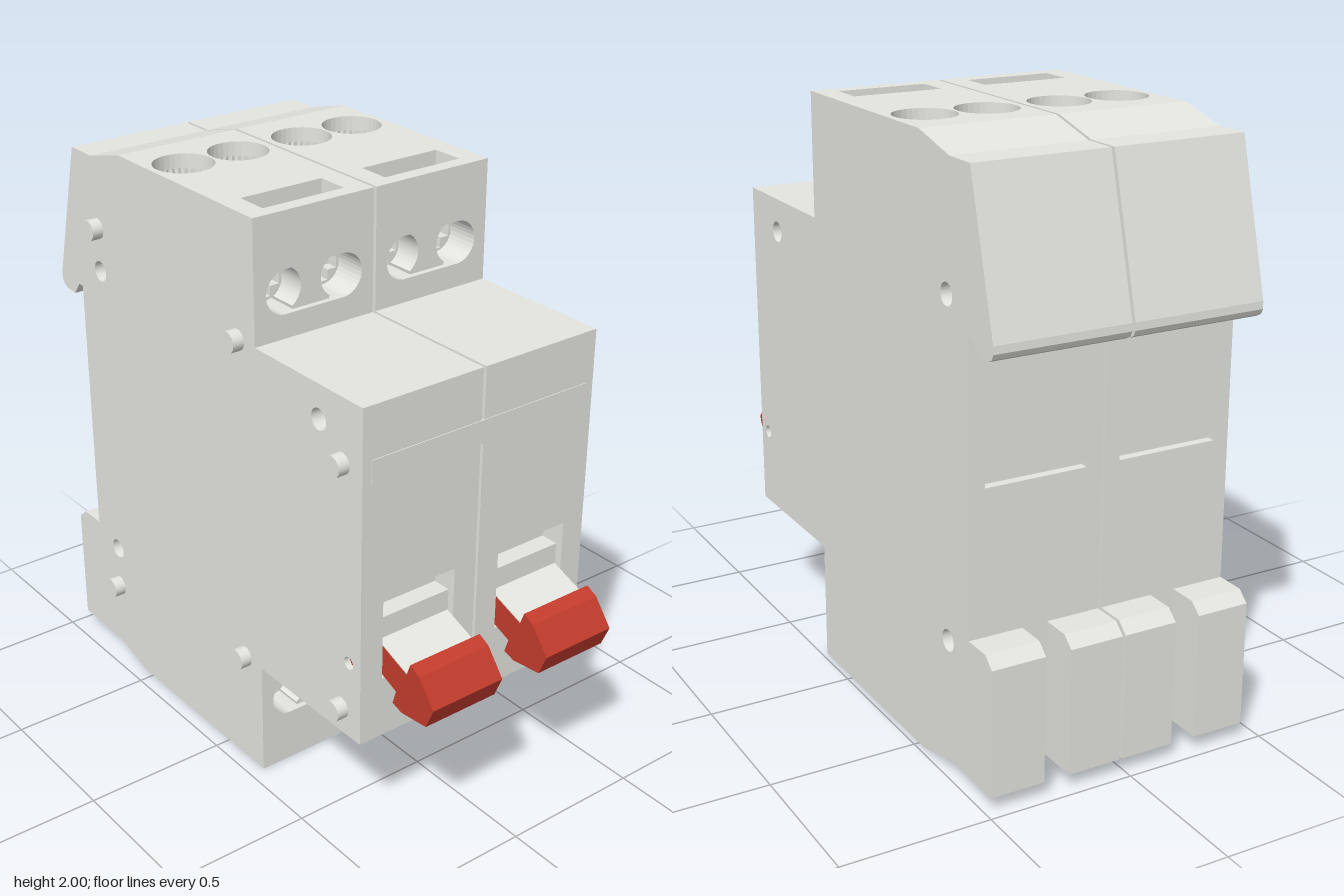
import * as THREE from 'three';

const mat = (name, color, side = THREE.FrontSide) =>
  Object.assign(new THREE.MeshStandardMaterial({ color, side }), { name });
const V2 = (x, y) => new THREE.Vector2(x, y);
const V3 = (x, y, z) => new THREE.Vector3(x, y, z);

const W = 0.458; // width of one module

// Side outline as [z, y], front edge upward first
const PROFILE = [
  [0.735, 0.415], [0.735, 1.586], [0.208, 1.586], [0.208, 2], [-0.54, 2], [-0.72, 1.953], [-0.84, 1.953],
  [-0.97, 1.468], [-0.971, 1.443], [-0.962, 1.425], [-0.94, 1.414], [-0.888, 1.41], [-0.855, 1.455],
  [-0.83, 1.455], [-0.83, 0.05], [-0.72, 0.05], [-0.54, 0], [0.208, 0], [0.208, 0.415],
];
const FOOT = [[-0.83, 0.51], [-0.93, 0.51], [-0.97, 0.475], [-0.97, 0.05], [-0.83, 0.05]];
const LEVER = [
  [0.66, 0.77], [0.735, 0.747], [0.848, 0.705], [0.864, 0.748], [0.906, 0.727], [0.975, 0.64], [0.943, 0.565],
  [0.827, 0.552], [0.784, 0.565], [0.8, 0.615], [0.737, 0.64], [0.66, 0.67],
];
const LEVER_TOP = [[0.71, 0.756], [0.848, 0.705], [0.848, 0.709], [0.71, 0.76]];
const BOLTS = [[-0.7, 1.55], [0.527, 1.47], [-0.7, 0.455]];
const PEGS = [[-0.7, 1.705], [0.115, 1.582], [0.64, 1.372], [0.64, 0.507], [0.115, 0.418], [-0.7, 0.298]];
const PIVOT = [0.677, 0.69];
const SCREW_X = 0.1115;

// Rectangle (r = 0), slot or circle outline
function outline(cx, cy, w, h, r = 0) {
  if (!r) return [[-1, -1], [1, -1], [1, 1], [-1, 1]].map(([a, b]) => V2(cx + a * w / 2, cy + b * h / 2));
  return Array.from({ length: 32 }, (_, i) => {
    const a = (i + 0.5) / 32 * Math.PI * 2;
    return V2(cx + Math.sign(Math.cos(a)) * (w / 2 - r) + r * Math.cos(a), cy + r * Math.sin(a));
  });
}

// Toothed circle for the clamp walls
function toothed(cx, cy, r) {
  return Array.from({ length: 64 }, (_, i) => {
    const a = i / 64 * Math.PI * 2, q = r + (i % 2) * 0.006;
    return V2(cx + q * Math.cos(a), cy + q * Math.sin(a));
  });
}

// Inward-facing walls, with or without a floor, sunk below z = 0
function pocket(points, depth, open = false) {
  let g = new THREE.ExtrudeGeometry(new THREE.Shape(points), { depth, bevelEnabled: false });
  const { start, count } = g.groups[1];
  const p = g.attributes.position.array;
  // keep the side walls, plus the floor triangles at full depth
  const kept = [];
  for (let i = 0; i < p.length; i += 9) {
    const isWall = i >= start * 3 && i < (start + count) * 3;
    const isFloor = p[i + 2] > 0 && p[i + 5] > 0 && p[i + 8] > 0;
    if (isWall || (isFloor && !open)) kept.push(...p.slice(i, i + 9));
  }
  g = new THREE.BufferGeometry().setAttribute('position', new THREE.Float32BufferAttribute(kept, 3));
  g.scale(1, 1, -1);
  g.computeVertexNormals();
  return g;
}

const sideFrame = (s) => new THREE.Matrix4().makeBasis(V3(0, 0, -s), V3(0, 1, 0), V3(s, 0, 0));

// Solid with a [z, y] outline, extruded along x about x = 0
function extrudeX(pts, width) {
  const g = new THREE.ExtrudeGeometry(new THREE.Shape(pts.map(([z, y]) => V2(-z, y))),
    { depth: width, bevelEnabled: false });
  return g.translate(0, 0, -width / 2).applyMatrix4(sideFrame(1));
}

// Openings, keyed by outline edge
const terminal = (y) => [{ at: [0.208, y], x: 0, w: 0.368, h: 0.147, r: 0.0735, d: 0.15, name: 'terminalRecess' }];
const vents = (y) => [
  ...[-0.106, 0.106].map((x) => ({ at: [-0.343, y], x, w: 0.204, h: 0.204, r: 0.102, d: 0.05, clamp: true, name: 'wireEntry' })),
  { at: [0.098, y], x: 0, w: 0.307, h: 0.115, d: 0.08, name: 'endSlot' },
];
const OPENINGS = {
  0: [{ at: [0.735, 0.776], x: 0, w: 0.286, h: 0.292, d: 0.09, name: 'leverWindow' }],
  2: terminal(1.74),
  3: vents(2),
  13: [{ at: [-0.83, 1.0], x: 0, w: 0.35, h: 0.022, d: 0.03, name: 'backSlit' }],
  16: vents(0),
  17: terminal(0.263),
};

function createModule(m) {
  const group = new THREE.Group();
  const add = (name, geometry, material, x = 0, y = 0, z = 0) => {
    const mesh = new THREE.Mesh(geometry, material);
    mesh.name = name;
    mesh.position.set(x, y, z);
    group.add(mesh);
  };

  // Wall panels around the outline, each with its recesses
  PROFILE.forEach(([z, y], i) => {
    const [z2, y2] = PROFILE[(i + 1) % PROFILE.length];
    const len = Math.hypot(z2 - z, y2 - y);
    const v = V3(0, (y2 - y) / len, (z2 - z) / len);
    const frame = new THREE.Matrix4().makeBasis(V3(1, 0, 0), v, V3(0, -v.z, v.y)).setPosition(0, y, z);
    const shape = new THREE.Shape(outline(0, len / 2, W, len));
    for (const o of OPENINGS[i] || []) {
      const along = (o.at[1] - y) * v.y + (o.at[0] - z) * v.z;
      const pts = outline(o.x, along, o.w, o.h, o.r);
      shape.holes.push(new THREE.Path(pts));
      add(o.name, pocket(pts, o.d, o.clamp).applyMatrix4(frame), m.body);
      if (o.clamp) {
        const wall = pocket(toothed(o.x, along, o.r), 0.3 - o.d, true);
        add('wireClampWall', wall.translate(0, 0, -o.d).applyMatrix4(frame), m.body);
      }
    }
    add('housingWall', new THREE.ShapeGeometry(shape).applyMatrix4(frame), m.body);
  });

  // Side panels with bolt holes and the lever pivot hole
  for (const s of [1, -1]) {
    const frame = sideFrame(s).setPosition(s * W / 2, 0, 0);
    const shape = new THREE.Shape(PROFILE.map(([z, y]) => V2(-s * z, y)));
    for (const [z, y] of BOLTS) {
      const pts = outline(-s * z, y, 0.072, 0.072, 0.036);
      shape.holes.push(new THREE.Path(pts));
      if (s > 0) add('boltHole', pocket(pts, W, true).applyMatrix4(frame), m.body);
    }
    const pts = outline(-s * PIVOT[0], PIVOT[1], 0.044, 0.044, 0.022);
    shape.holes.push(new THREE.Path(pts));
    add('pivotHole', pocket(pts, 0.05).applyMatrix4(frame), m.body);
    add('leverPivot', new THREE.CylinderGeometry(0.021, 0.021, 0.03, 6).rotateZ(Math.PI / 2), m.red,
      s * (W / 2 - 0.035), PIVOT[1], PIVOT[0]);
    add('sidePanel', new THREE.ShapeGeometry(shape).applyMatrix4(frame), m.body);
    // Rail foot tabs with a slot between them
    add('railFootTab', extrudeX(FOOT, 0.185), m.body, s * (W / 2 - 0.0925));
  }

  // Locating pegs on one side
  for (const [z, y] of PEGS) {
    add('locatingPeg', new THREE.CylinderGeometry(0.036, 0.036, 0.04, 16).rotateZ(Math.PI / 2), m.body,
      -W / 2 - 0.02, y, z);
  }

  // Terminal screws with cross slots, and the waisted block between them
  const a = 0.02, b = 0.054, r = 0.0735;
  const cross = [[a, a], [a, b], [-a, b], [-a, a], [-b, a], [-b, -a], [-a, -a], [-a, -b], [a, -b], [a, -a], [b, -a], [b, a]];
  const head = new THREE.Shape(outline(0, 0, 0.13, 0.13, 0.065));
  head.holes.push(new THREE.Path(cross.map(([x, y]) => V2(x, y))));
  const headGeometry = new THREE.ExtrudeGeometry(head, { depth: 0.04, bevelEnabled: false });
  const waist = new THREE.Shape();
  waist.moveTo(-0.07, -r).lineTo(0.07, -r);
  waist.absarc(SCREW_X, 0, r, Math.PI * 1.32, Math.PI * 0.68, true);
  waist.lineTo(0.07, r).lineTo(-0.07, r);
  waist.absarc(-SCREW_X, 0, r, Math.PI * 0.32, -Math.PI * 0.32, true);
  const waistGeometry = new THREE.ExtrudeGeometry(waist, { depth: 0.13, bevelEnabled: false });
  for (const y of [1.74, 0.263]) {
    for (const x of [-SCREW_X, SCREW_X]) add('terminalScrew', headGeometry, m.body, x, y, 0.06);
    add('terminalWaist', waistGeometry, m.body, 0, y, 0.058);
  }

  // Inner floors below the wire entries, around the central shaft
  const floor = new THREE.Shape(outline(0, 0.345, W - 0.01, 0.24));
  floor.holes.push(new THREE.Path(outline(-0.02, 0.325, 0.23, 0.23, 0.115)));
  const floorGeometry = new THREE.ShapeGeometry(floor).rotateX(-Math.PI / 2);
  for (const y of [1.7, 0.3]) add('entryFloor', floorGeometry, m.body, 0, y, 0);
  add('brassCore', new THREE.CylinderGeometry(0.077, 0.077, 1.3, 24), m.brass, -0.02, 1, -0.325);

  // Toggle lever with a pale upper face, below a step inside the window
  add('lever', extrudeX(LEVER, 0.28), m.red);
  add('leverTopPlate', extrudeX(LEVER_TOP, 0.28), m.body);
  add('windowStep', new THREE.BoxGeometry(0.284, 0.2, 0.065), m.body, 0, 0.734, 0.678);
  return group;
}

export function createModel() {
  const m = {
    body: mat('body grey', 0xe5e5e0, THREE.DoubleSide),
    brass: mat('brass', 0xbfa76c),
    red: mat('lever red', 0xc43c2d),
  };
  const model = new THREE.Group();
  model.name = 'circuitBreaker';
  [['rightModule', -0.216], ['leftModule', 0.2525]].forEach(([name, x]) => {
    const module = createModule(m);
    module.name = name;
    module.position.x = x;
    model.add(module);
  });

  // Thin strip bridging both fronts
  const strip = new THREE.Mesh(new THREE.BoxGeometry(0.86, 0.08, 0.008), m.body);
  strip.name = 'frontStrip';
  strip.position.set(0.018, 1.37, 0.734);
  model.add(strip);
  return model;
}
